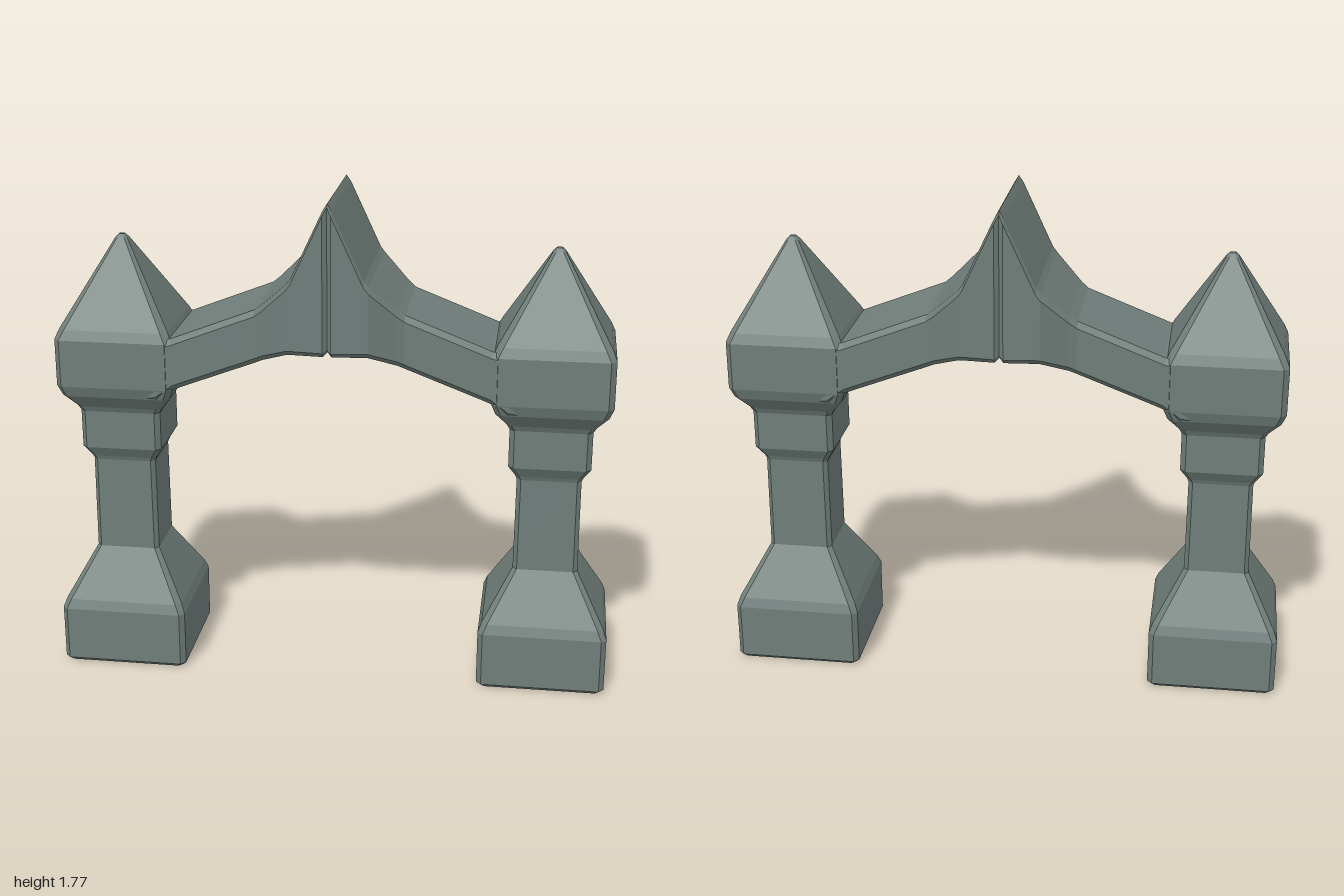
import * as THREE from 'three';

// Chamfered rectangle, counter-clockwise in (u, v)
function ring(u0, u1, v0, v1, c) {
  return [
    [u1, v0 + c], [u1, v1 - c], [u1 - c, v1], [u0 + c, v1],
    [u0, v1 - c], [u0, v0 + c], [u0 + c, v0], [u1 - c, v0],
  ];
}

// Skin a list of equal-length rings and cap both ends
function loft(rings) {
  const n = rings[0].length;
  const position = rings.flat(2);
  const index = [];
  for (let r = 0; r < rings.length - 1; r++) {
    for (let i = 0; i < n; i++) {
      const a = r * n + i, b = r * n + (i + 1) % n;
      index.push(a, b, b + n, a, b + n, a + n);
    }
  }
  const last = (rings.length - 1) * n;
  for (let i = 1; i < n - 1; i++) {
    index.push(0, i + 1, i, last, last + i, last + i + 1);
  }
  const geometry = new THREE.BufferGeometry();
  geometry.setAttribute('position', new THREE.Float32BufferAttribute(position, 3));
  geometry.setIndex(index);
  const flat = geometry.toNonIndexed();
  flat.computeVertexNormals();
  return flat;
}

// Pillar profile: height, half width, corner chamfer
const PILLAR = [
  [0, 0.215, 0.015], [0.015, 0.23, 0.018], [0.215, 0.23, 0.018], [0.25, 0.217, 0.02],
  [0.43, 0.116, 0.015], [0.775, 0.114, 0.015], [0.79, 0.12, 0.015],
  [0.83, 0.145, 0.018], [0.97, 0.145, 0.018], [0.99, 0.155, 0.018],
  [1.04, 0.195, 0.02], [1.08, 0.21, 0.02], [1.25, 0.21, 0.02], [1.285, 0.195, 0.022],
  [1.58, 0.022, 0.009], [1.593, 0.01, 0.004],
];

// Half of the bridge, outer end to middle: x, bottom, top, half depth, chamfer
const BRIDGE = [
  [0.68, 1.02, 1.24, 0.19, 0.02], [0.62, 1.035, 1.255, 0.209, 0.02],
  [0.56, 1.08, 1.268, 0.209, 0.02], [0.53, 1.092, 1.28, 0.209, 0.02],
  [0.26, 1.195, 1.385, 0.21, 0.02], [0.235, 1.208, 1.405, 0.22, 0.02],
  [0.14, 1.247, 1.495, 0.27, 0.018], [0.125, 1.247, 1.515, 0.27, 0.018],
  [0.015, 1.245, 1.75, 0.27, 0.016], [0, 1.26, 1.775, 0.256, 0.012],
];

export function createModel() {
  const group = new THREE.Group();
  const stone = new THREE.MeshStandardMaterial({ color: 0x6f7d79 });
  stone.name = 'greyGreenStone';

  const add = (name, geometry, x = 0) => {
    const mesh = new THREE.Mesh(geometry, stone);
    mesh.name = name;
    mesh.position.x = x;
    group.add(mesh);
  };

  // Two square pillars with flared base, collar and pyramid cap
  const pillar = loft(PILLAR.map(([y, h, c]) =>
    ring(-h, h, -h, h, c).map(([z, x]) => [x, y, z])));
  add('leftPillar', pillar, 0.77);
  add('rightPillar', pillar, -0.77);

  // Bridge rising to a peaked keystone with a seam down the middle
  const halves = [
    ...BRIDGE.map(([x, ...rest]) => [-x, ...rest]),
    ...BRIDGE.slice(0, -1).reverse(),
  ];
  add('archBridge', loft(halves.map(([x, y0, y1, d, c]) =>
    ring(y0, y1, -d, d, c).map(([y, z]) => [x, y, z]))));

  return group;
}
